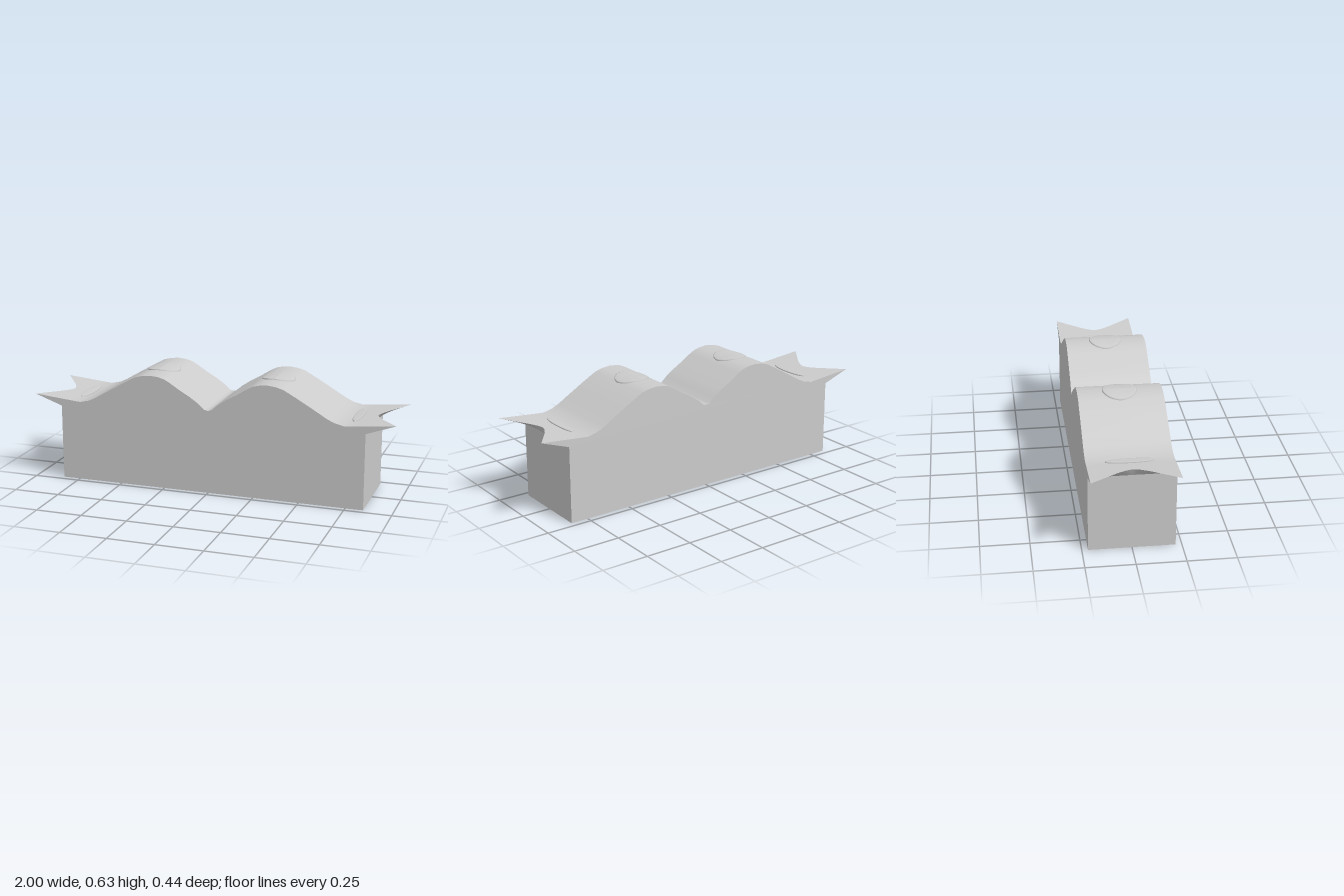
import * as THREE from 'three';

const HALF_Z = 0.219, END_X = 0.845, END_Y = 0.41;

// Half of the wavy top profile, from the centre valley out to the tip: x, y
const PROFILE = [
  [0, 0.456], [0.02, 0.46], [0.05, 0.488], [0.1, 0.522], [0.16, 0.556], [0.21, 0.588],
  [0.245, 0.607], [0.28, 0.616], [0.325, 0.62], [0.37, 0.615], [0.41, 0.604], [0.49, 0.56],
  [0.59, 0.502], [0.64, 0.472], [0.68, 0.453], [0.735, 0.44], [0.8, 0.446], [1, 0.465],
];
// Fishtail rim: distance from the middle, x
const RIM = [[0, 0.865], [0.03, 0.872], [0.08, 0.9], [HALF_Z, 1]];

function sample(table, value) {
  const v = Math.min(Math.abs(value), table[table.length - 1][0]);
  let i = 1;
  while (i < table.length - 1 && table[i][0] < v) i++;
  const [x0, y0] = table[i - 1], [x1, y1] = table[i];
  return y0 + (y1 - y0) * (v - x0) / (x1 - x0);
}
const topY = (x) => sample(PROFILE, x);
const rimX = (z) => sample(RIM, z);

// Smooth grid surface through point(i, j)
function sheet(columns, rows, point) {
  const positions = [], index = [];
  for (let i = 0; i < columns; i++) {
    for (let j = 0; j < rows; j++) {
      positions.push(...point(i, j));
      if (i && j) {
        const d = i * rows + j, c = d - 1, b = d - rows, a = b - 1;
        index.push(a, b, d, a, d, c);
      }
    }
  }
  const geometry = new THREE.BufferGeometry();
  geometry.setAttribute('position', new THREE.Float32BufferAttribute(positions, 3));
  geometry.setIndex(index);
  geometry.computeVertexNormals();
  return geometry;
}

// Low round button that follows the top surface
function button(cx, radiusX, radiusZ, height) {
  const points = [[1, -0.008], [1, height * 0.6], [0.95, height], [0.65, height], [0.3, height], [0, height]]
    .map(([r, y]) => new THREE.Vector2(r, y));
  const geometry = new THREE.LatheGeometry(points, 40);
  const p = geometry.attributes.position;
  for (let i = 0; i < p.count; i++) {
    const x = cx + p.getX(i) * radiusX;
    p.setXYZ(i, x, topY(x) + p.getY(i), p.getZ(i) * radiusZ);
  }
  geometry.computeVertexNormals();
  return geometry;
}

export function createModel() {
  const group = new THREE.Group();
  const material = new THREE.MeshStandardMaterial({ color: 0xcccccc, side: THREE.DoubleSide });
  const add = (name, geometry) => {
    const mesh = new THREE.Mesh(geometry, material);
    mesh.name = name;
    group.add(mesh);
    return mesh;
  };
  const rows = 25;
  const zAt = (j) => HALF_Z * (2 * j / (rows - 1) - 1);

  // Wavy top, stretched to the notched rim at both ends
  const half = PROFILE.map(([x]) => x);
  half.splice(-1, 0, 0.85, 0.9, 0.95);
  const xs = [...half.slice(1).reverse().map((x) => -x), ...half];
  const start = 0.735;
  add('wavyTop', sheet(xs.length, rows, (i, j) => {
    const z = zAt(j);
    let x = Math.abs(xs[i]);
    if (x > start) x = start + (x - start) / (1 - start) * (rimX(z) - start);
    return [x * Math.sign(xs[i]), topY(x), z];
  }).toNonIndexed()).geometry.computeBoundingSphere();
  // Flip the winding so the top faces upward
  const top = group.children[0].geometry;
  for (const name of ['position', 'normal']) {
    const a = top.attributes[name];
    for (let i = 0; i < a.count; i += 3) {
      const b = [a.getX(i + 1), a.getY(i + 1), a.getZ(i + 1)];
      a.setXYZ(i + 1, a.getX(i + 2), a.getY(i + 2), a.getZ(i + 2));
      a.setXYZ(i + 2, ...b);
      if (name === 'normal') for (let k = i; k < i + 3; k++) a.setXYZ(k, -a.getX(k), -a.getY(k), -a.getZ(k));
    }
  }

  // Flat front and back walls
  const outline = new THREE.Shape([
    [-END_X, 0], [END_X, 0], [END_X, END_Y],
    ...[...PROFILE].reverse(),
    ...PROFILE.slice(1).map(([x, y]) => [-x, y]),
    [-END_X, END_Y],
  ].map(([x, y]) => new THREE.Vector2(x, y)));
  add('frontWall', new THREE.ShapeGeometry(outline)).position.z = HALF_Z;
  const back = add('backWall', new THREE.ShapeGeometry(outline));
  back.rotation.y = Math.PI;
  back.position.z = -HALF_Z;

  // Underside
  const base = add('base', new THREE.PlaneGeometry(2 * END_X, 2 * HALF_Z));
  base.rotation.x = Math.PI / 2;

  for (const side of [1, -1]) {
    const label = side > 0 ? 'left' : 'right';
    // End wall
    const wall = add(label + 'EndWall', new THREE.PlaneGeometry(2 * HALF_Z, END_Y));
    wall.rotation.y = side * Math.PI / 2;
    wall.position.set(side * END_X, END_Y / 2, 0);
    // Flare under the fishtail
    add(label + 'Flare', sheet(4, rows, (i, j) => {
      const t = i / 3, z = side * zAt(j), x = rimX(z);
      return [side * (END_X + (x - END_X) * t), END_Y + (topY(x) - END_Y) * t, z];
    }));
    // Round cap on each crest and slim raised bar near each end
    add(label + 'CrestDisc', button(side * 0.325, 0.09, 0.09, 0.006));
    add(label + 'EndBar', button(side * 0.765, 0.025, 0.125, 0.006));
  }
  return group;
}
